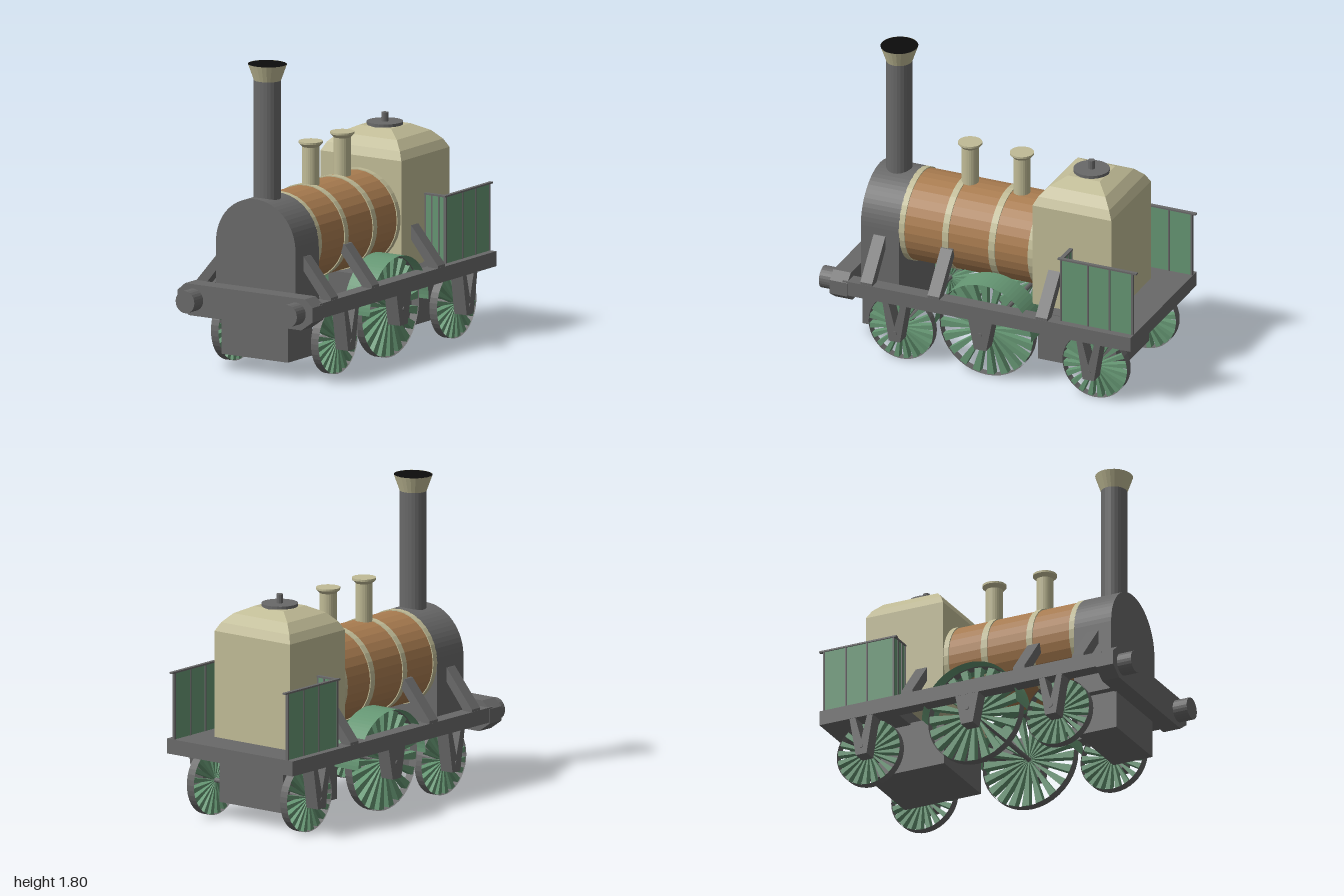
import * as THREE from 'three';

const mat = (name, color, side = THREE.FrontSide) => {
  const m = new THREE.MeshStandardMaterial({ color, side, flatShading: true });
  m.name = name;
  return m;
};

export function createModel() {
  const iron = mat('iron grey', 0x696969, THREE.DoubleSide);
  const cream = mat('cream', 0xc0bb96, THREE.DoubleSide);
  const wood = mat('wood brown', 0xa97c50);
  const green = mat('green', 0x659673, THREE.DoubleSide);
  const soot = mat('soot black', 0x0c0c0c);

  const model = new THREE.Group();
  model.name = 'steamLocomotive';

  const add = (name, geo, material, x = 0, y = 0, z = 0, parent = model) => {
    const mesh = new THREE.Mesh(geo, material);
    mesh.name = name;
    mesh.position.set(x, y, z);
    parent.add(mesh);
    return mesh;
  };
  // Box given by its limits on each axis
  const box = (name, material, x0, x1, y0, y1, z0, z1) =>
    add(name, new THREE.BoxGeometry(x1 - x0, y1 - y0, z1 - z0), material, (x0 + x1) / 2, (y0 + y1) / 2, (z0 + z1) / 2);
  const shapeOf = pts => new THREE.Shape(pts.map(p => new THREE.Vector2(p[0], p[1])));
  const extrude = (shapes, depth) => new THREE.ExtrudeGeometry(shapes, { depth, bevelEnabled: false, curveSegments: 16 });
  const rod = (r, length, axis, segs = 24) => {
    const g = new THREE.CylinderGeometry(r, r, length, segs);
    return axis === 'x' ? g.rotateZ(Math.PI / 2) : axis === 'z' ? g.rotateX(Math.PI / 2) : g;
  };
  const lathe = (pts, segs = 24) => new THREE.LatheGeometry(pts.map(p => new THREE.Vector2(p[0], p[1])), segs);

  // Boiler with its bands
  add('boiler', rod(0.27, 0.84, 'z', 32), wood, 0, 0.755, 0.14);
  for (const [z, w] of [[0.545, 0.035], [0.272, 0.038], [-0.02, 0.04], [-0.265, 0.035]])
    add('boilerBand', rod(0.276, w, 'z', 32), cream, 0, 0.755, z);

  // Arched smokebox and the box below it
  const arch = new THREE.Shape();
  arch.moveTo(-0.275, 0.33);
  arch.lineTo(0.275, 0.33);
  arch.lineTo(0.275, 0.755);
  arch.absarc(0, 0.755, 0.275, 0, Math.PI, false);
  add('smokebox', extrude(arch, 0.24), iron, 0, 0, 0.56);
  box('frontLowerBox', iron, -0.23, 0.23, 0.1, 0.39, 0.56, 0.81);

  // Chimney with flared crown
  const chimney = new THREE.Group();
  chimney.name = 'chimney';
  chimney.position.z = 0.68;
  chimney.scale.z = 0.94;
  model.add(chimney);
  add('chimneyPipe', rod(0.08, 0.74, 'y'), iron, 0, 1.35, 0, chimney);
  add('chimneyCrown', lathe([[0.08, 1.71], [0.115, 1.805]]), cream, 0, 0, 0, chimney);
  add('chimneyMouth', new THREE.CircleGeometry(0.115, 24).rotateX(-Math.PI / 2), soot, 0, 1.804, 0, chimney);

  // Two boiler stacks
  for (const z of [0.235, -0.09])
    add('boilerStack', lathe([[0.05, 0.98], [0.05, 1.245], [0.07, 1.265], [0.07, 1.277], [0, 1.277]]), cream, 0, 0, z);

  // Firebox casing: rectangular rings closing into a domed top
  const rings = [[0.28, 0.248, 0.47], [0.28, 0.248, 1.1], [0.253, 0.222, 1.15], [0.2, 0.175, 1.203], [0.11, 0.1, 1.245]];
  const pos = [], idx = [];
  for (const [hx, hz, y] of rings) pos.push(-hx, y, hz, hx, y, hz, hx, y, -hz, -hx, y, -hz);
  for (let r = 0; r < rings.length - 1; r++)
    for (let k = 0; k < 4; k++) {
      const a = r * 4 + k, b = r * 4 + (k + 1) % 4;
      idx.push(a, b, b + 4, a, b + 4, a + 4);
    }
  const t = (rings.length - 1) * 4;
  idx.push(t, t + 1, t + 2, t, t + 2, t + 3, 0, 2, 1, 0, 3, 2);
  const casing = new THREE.BufferGeometry();
  casing.setAttribute('position', new THREE.Float32BufferAttribute(pos, 3));
  casing.setIndex(idx);
  casing.computeVertexNormals();
  add('fireboxCasing', casing, cream, 0, 0, -0.528);
  add('fireboxCap', rod(0.105, 0.025, 'y'), iron, 0, 1.25, -0.528);
  add('fireboxKnob', rod(0.02, 0.06, 'y', 12), iron, 0, 1.285, -0.528);
  box('rearLowerBox', iron, -0.235, 0.235, 0.1, 0.4, -0.785, -0.295);

  // Footplate and chamfered buffer beam
  box('footplate', iron, -0.467, 0.467, 0.387, 0.475, -0.98, -0.51);
  const beam = [[-0.39, 0.325], [0.39, 0.325], [0.468, 0.38], [0.468, 0.465], [0.415, 0.51], [-0.415, 0.51], [-0.468, 0.465], [-0.468, 0.38]];
  add('bufferBeam', extrude(shapeOf(beam), 0.11), iron, 0, 0, 0.8);

  // Wheel: thin tyre with wedge spokes at even gaps
  const wheel = (x, y, z, r, phase) => {
    const g = new THREE.Group();
    g.name = 'wheel';
    g.position.set(x, y, z);
    model.add(g);
    add('tyre', new THREE.CylinderGeometry(r, r, 0.052, 40, 1, true).rotateZ(Math.PI / 2), iron, 0, 0, 0, g);
    const step = Math.PI / 10, spokes = [];
    for (let k = 0; k < 20; k++) {
      const a = k * step + phase, b = a + step / 2, R = r * 0.985;
      spokes.push(shapeOf([[0, 0], [R * Math.cos(a), R * Math.sin(a)], [R * Math.cos(b), R * Math.sin(b)]]));
    }
    add('spokes', extrude(spokes, 0.044).rotateY(Math.PI / 2), green, -0.022, 0, 0, g);
  };

  // Axle guards, as profiles seen from the side
  const forkGuard = [[-0.075, 0.39], [-0.035, 0.15], [0.035, 0.15], [0.075, 0.39], [0.038, 0.39], [0, 0.245], [-0.038, 0.39]];
  const solidGuard = [[-0.075, 0.39], [-0.038, 0.205], [0.038, 0.205], [0.075, 0.39]];
  const axles = [[0.505, 0.203, 0.203, Math.PI / 40, forkGuard], [-0.033, 0.3, 0.295, 0, solidGuard], [-0.713, 0.203, 0.203, Math.PI / 40, forkGuard]];
  for (const [z, y, r, phase, guard] of axles) {
    add('axle', rod(0.014, 0.94, 'x', 12), iron, 0, y, z);
    for (const s of [-1, 1]) {
      wheel(s * 0.346, y, z, r, phase);
      add('axleGuard', extrude(shapeOf(guard), 0.085).rotateY(Math.PI / 2), iron, s * 0.4225 - 0.0425, 0, z);
    }
  }

  for (const s of [-1, 1]) {
    // Side rail and buffer
    box('sideRail', iron, s * 0.4225 - 0.0435, s * 0.4225 + 0.0435, 0.387, 0.475, -0.98, 0.83);
    add('buffer', rod(0.065, 0.1, 'z'), iron, s * 0.355, 0.42, 0.95);

    // Diagonal struts from rail to boiler
    const strut = [[0.25, 0.715], [0.278, 0.71], [0.465, 0.49], [0.465, 0.47], [0.405, 0.47], [0.25, 0.66]];
    for (const z of [0.682, s > 0 ? 0.26 : 0.3, -0.418])
      add('strut', extrude(shapeOf(strut.map(p => [s * p[0], p[1]])), 0.074), iron, 0, 0, z - 0.037);

    // Splasher over the driving wheel
    add('splasher', new THREE.CylinderGeometry(0.303, 0.303, 0.18, 40, 1, true, 0, Math.PI).rotateZ(Math.PI / 2),
      green, s * 0.34, 0.3, -0.036);

    // Footplate railing: side and front panels, posts and handrails
    const xs = s * 0.42;
    box('sidePanel', green, xs - 0.004, xs + 0.004, 0.475, 0.865, -0.975, -0.52);
    box('frontPanel', green, s * 0.35 - 0.07, s * 0.35 + 0.07, 0.475, 0.865, -0.529, -0.521);
    box('sideHandrail', iron, xs - 0.011, xs + 0.011, 0.865, 0.875, -1, -0.505);
    box('frontHandrail', iron, s * 0.35 - 0.075, s * 0.35 + 0.075, 0.865, 0.875, -0.536, -0.514);
    for (const z of [-0.525, -0.695, -0.83, -0.972])
      box('post', iron, xs - 0.008, xs + 0.008, 0.475, 0.87, z - 0.005, z + 0.005);
    for (const x of [0.285, 0.33, 0.378])
      box('post', iron, s * x - 0.005, s * x + 0.005, 0.475, 0.87, -0.533, -0.517);
  }
  return model;
}
